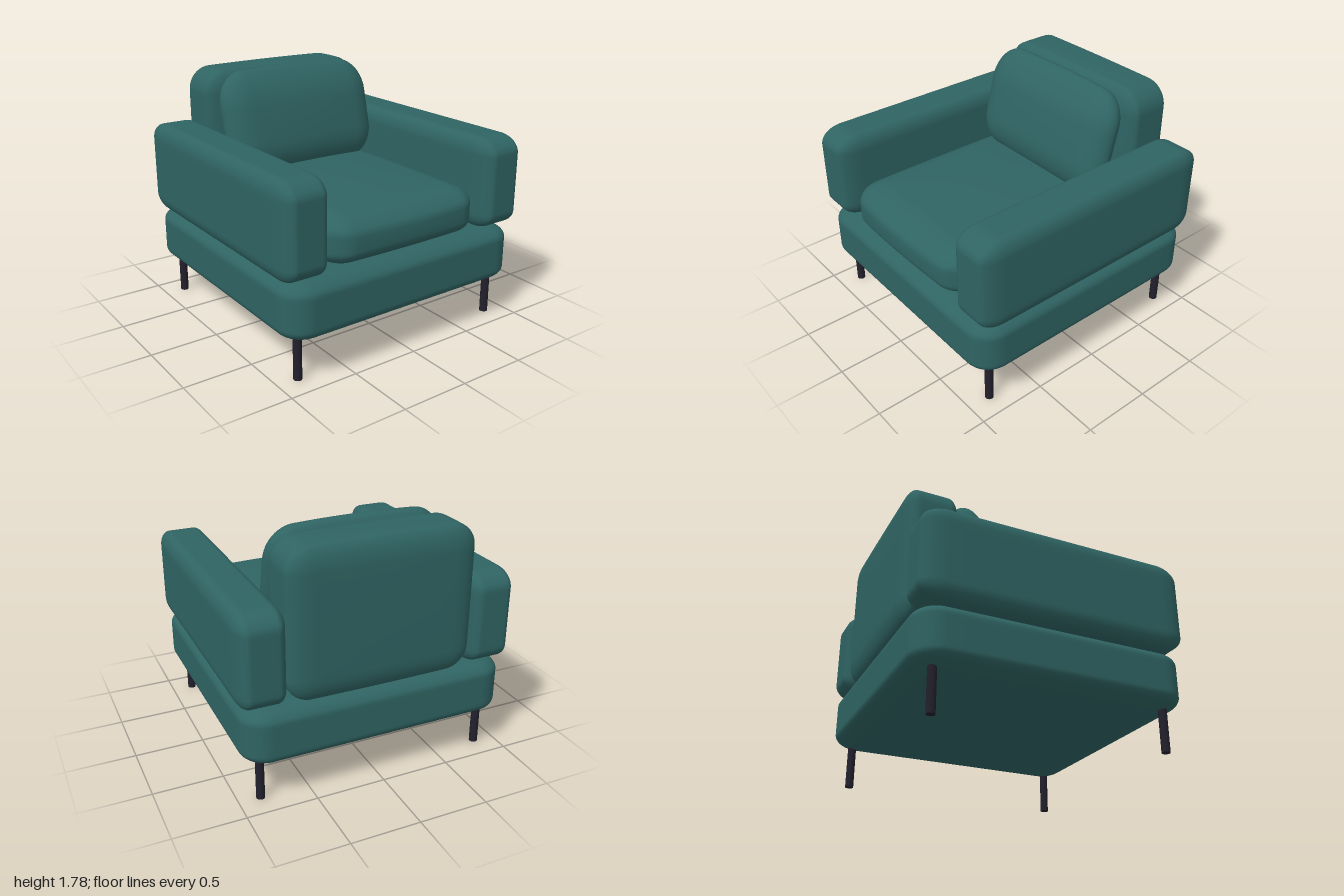
import * as THREE from 'three';
import { mergeVertices } from 'three/addons/utils/BufferGeometryUtils.js';

const AXES = ['x', 'y', 'z'];

// Upholstered block between two corners, with a separate edge radius per axis,
// an optional crown (pillow bulge) per axis and an optional backward lean.
function softBlock(min, max, radius, crown = [0, 0, 0], lean = 0) {
  const box = new THREE.BoxGeometry(2, 2, 2, 24, 24, 24);
  box.deleteAttribute('uv');
  box.deleteAttribute('normal');
  const geometry = mergeVertices(box);
  const pos = geometry.attributes.position;
  const half = min.map((m, i) => (max[i] - m) / 2);
  const centre = min.map((m, i) => (max[i] + m) / 2);
  const flat = 0.5; // share of the grid spent on the flat middle
  const u = new THREE.Vector3();
  const dir = new THREE.Vector3();
  for (let v = 0; v < pos.count; v++) {
    u.fromBufferAttribute(pos, v);
    AXES.forEach((a) => {
      const t = Math.max(0, (Math.abs(u[a]) - flat) / (1 - flat));
      dir[a] = Math.sign(u[a]) * Math.tan(t * Math.PI / 4);
    });
    dir.normalize();
    const p = AXES.map((a, i) =>
      THREE.MathUtils.clamp(u[a] / flat, -1, 1) * (half[i] - radius[i]) + dir[a] * radius[i]);
    const q = p.map((c, i) => c / half[i]);
    const out = p.map((c, i) => {
      const j = (i + 1) % 3, k = (i + 2) % 3;
      return centre[i] + c + crown[i] * q[i] * (1 - q[j] ** 2) * (1 - q[k] ** 2);
    });
    pos.setXYZ(v, out[0], out[1], out[2] - lean * p[1]);
  }
  geometry.computeVertexNormals();
  return geometry;
}

export function createModel() {
  const fabric = new THREE.MeshStandardMaterial({ color: 0x2f6463 });
  fabric.name = 'tealFabric';
  const metal = new THREE.MeshStandardMaterial({ color: 0x22202c });
  metal.name = 'darkMetal';

  const group = new THREE.Group();
  group.name = 'armchair';
  const add = (name, geometry, material) => {
    const mesh = new THREE.Mesh(geometry, material);
    mesh.name = name;
    group.add(mesh);
    return mesh;
  };

  // Base, seat and back
  add('base', softBlock([-0.975, 0.29, -0.975], [0.975, 0.715, 0.975], [0.19, 0.1, 0.19]), fabric);
  add('seatCushion', softBlock([-0.635, 0.715, -0.6], [0.635, 1.05, 0.935],
    [0.18, 0.11, 0.2], [0.012, 0.035, 0.03]), fabric);
  add('backrest', softBlock([-0.672, 0.712, -0.97], [0.672, 1.76, -0.585],
    [0.17, 0.17, 0.08], [0, 0.012, 0.008]), fabric);
  add('backCushion', softBlock([-0.64, 1.04, -0.55], [0.64, 1.76, -0.295],
    [0.2, 0.23, 0.126], [0, 0.022, 0.025], 0.25), fabric);

  // Armrests
  for (const [side, x] of [['left', 0.828], ['right', -0.828]]) {
    add(side + 'Armrest', softBlock([x - 0.172, 0.71, -0.975], [x + 0.172, 1.38, 0.975],
      [0.08, 0.12, 0.18]), fabric);
  }

  // Legs, running a little way into the base
  const legGeometry = new THREE.CylinderGeometry(0.03, 0.03, 0.34, 20);
  for (const [side, x] of [['Left', 0.845], ['Right', -0.845]]) {
    for (const [end, z] of [['front', 0.83], ['back', -0.83]]) {
      add(end + side + 'Leg', legGeometry, metal).position.set(x, 0.17, z);
    }
  }
  return group;
}
